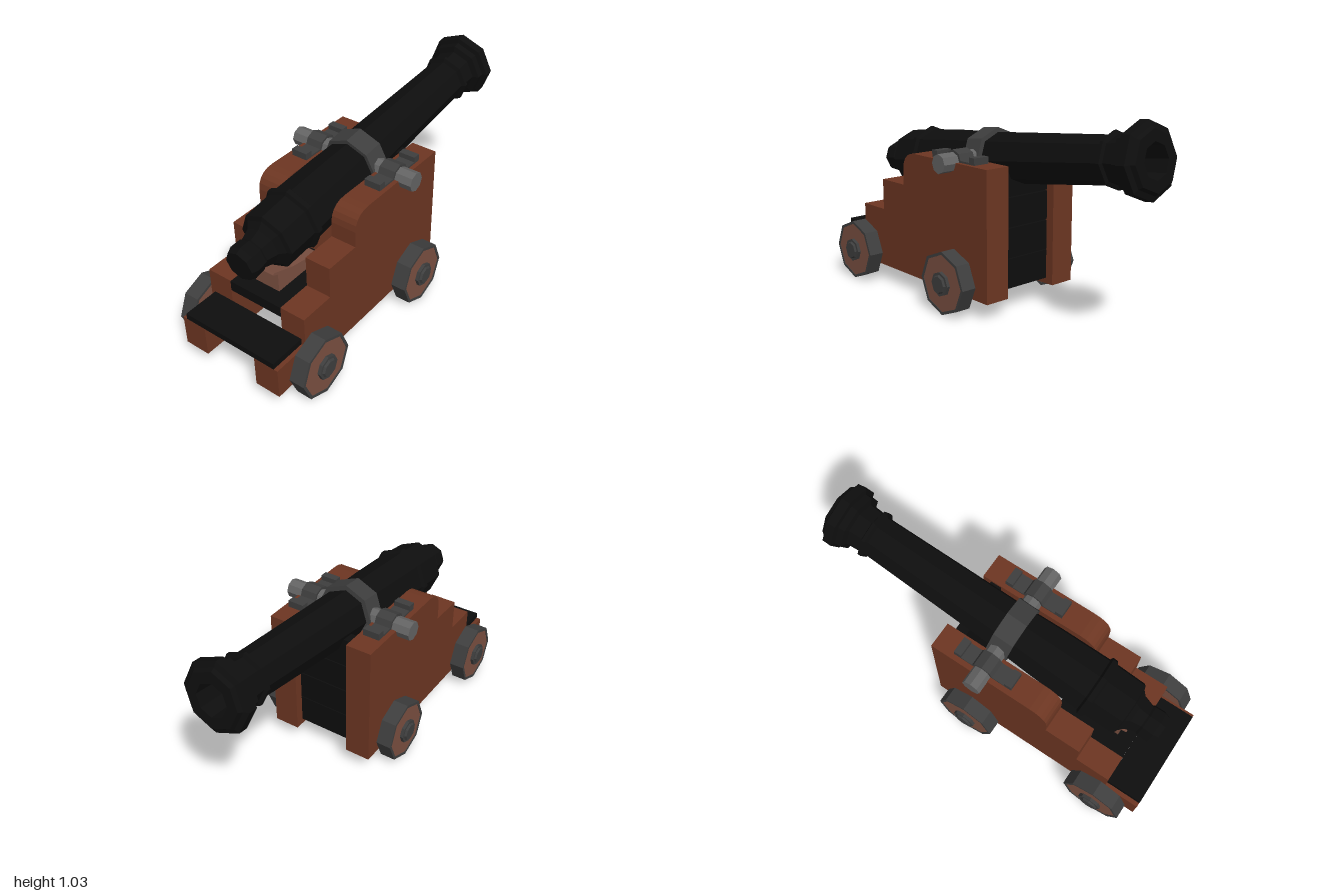
import * as THREE from 'three';

const flat = (color, name) => {
  const m = new THREE.MeshStandardMaterial({ color, flatShading: true });
  m.name = name;
  return m;
};

export function createModel() {
  const wood = flat(0x6d3622, 'red brown wood');
  const paleWood = flat(0x7b5041, 'pale wood');
  const black = flat(0x0e0e0e, 'black iron');
  const darkGrey = flat(0x3e3e3e, 'dark grey iron');
  const grey = flat(0x646464, 'grey iron');

  const model = new THREE.Group();
  model.name = 'cannon';

  const add = (parent, name, geometry, material, x = 0, y = 0, z = 0) => {
    const mesh = new THREE.Mesh(geometry, material);
    mesh.name = name;
    mesh.position.set(x, y, z);
    parent.add(mesh);
    return mesh;
  };
  // Box given by its limits on each axis
  const box = (parent, name, material, x0, x1, y0, y1, z0, z1) =>
    add(parent, name, new THREE.BoxGeometry(x1 - x0, y1 - y0, z1 - z0), material,
      (x0 + x1) / 2, (y0 + y1) / 2, (z0 + z1) / 2);
  // Eight-sided cylinder lying along z
  const drum = (parent, name, material, r0, r1, length, z) =>
    add(parent, name, new THREE.CylinderGeometry(r0, r1, length, 8).rotateX(Math.PI / 2), material, 0, 0, z);
  const lathe = (profile) =>
    new THREE.LatheGeometry(profile.map(([r, s]) => new THREE.Vector2(r, s)), 8);

  // Stepped side cheeks
  const carriage = new THREE.Group();
  carriage.name = 'carriage';
  model.add(carriage);
  const side = new THREE.Shape();
  side.moveTo(-1, 0.09);
  side.lineTo(0.225, 0.09);
  side.lineTo(0.225, 0.747);
  side.lineTo(-0.335, 0.747);
  side.quadraticCurveTo(-0.43, 0.745, -0.435, 0.655);
  for (const [x, y] of [[-0.435, 0.572], [-0.625, 0.572], [-0.625, 0.407],
    [-0.81, 0.407], [-0.81, 0.25], [-1, 0.25]]) side.lineTo(x, y);
  side.closePath();
  const cheek = new THREE.ExtrudeGeometry(side, { depth: 0.136, bevelEnabled: false, curveSegments: 5 });
  add(carriage, 'leftCheek', cheek, wood, 0, 0, 0.146);
  add(carriage, 'rightCheek', cheek, wood, 0, 0, -0.293);

  // Front planks with narrow gaps, bed and rear board
  for (const [y0, y1] of [[0.12, 0.271], [0.275, 0.426], [0.431, 0.579], [0.584, 0.735]])
    box(carriage, 'frontPlank', black, 0.12, 0.18, y0, y1, -0.157, 0.146);
  box(carriage, 'bedPlank', black, -0.81, -0.4, 0.35, 0.405, -0.157, 0.146);
  box(carriage, 'rearBoard', black, -1, -0.81, 0.25, 0.282, -0.27, 0.26);

  // Elevating wedge under the breech
  const wedge = new THREE.Shape([[-0.73, 0.405], [-0.45, 0.405], [-0.45, 0.45], [-0.63, 0.485],
    [-0.755, 0.53], [-0.76, 0.52], [-0.73, 0.505]].map(([x, y]) => new THREE.Vector2(x, y)));
  add(carriage, 'wedge', new THREE.ExtrudeGeometry(wedge, { depth: 0.14, bevelEnabled: false }),
    paleWood, 0, 0, -0.07);

  // Wheels: iron tyre, wooden disc and stepped hub
  for (const s of [1, -1]) for (const x of [-0.785, 0]) {
    const wheel = new THREE.Group();
    wheel.name = 'wheel';
    wheel.position.set(x, 0.163, s * 0.34);
    if (s < 0) wheel.rotation.y = Math.PI;
    const tyre = lathe([[0.147, -0.04], [0.162, -0.04], [0.162, 0.04], [0.147, 0.04], [0.147, -0.04]]);
    add(wheel, 'tyre', tyre.rotateX(Math.PI / 2), darkGrey);
    drum(wheel, 'disc', paleWood, 0.148, 0.148, 0.074, 0);
    drum(wheel, 'hub', darkGrey, 0.062, 0.062, 0.022, 0.043);
    drum(wheel, 'hubCap', darkGrey, 0.042, 0.05, 0.012, 0.058);
    drum(wheel, 'axleStub', darkGrey, 0.045, 0.045, 0.06, -0.06);
    model.add(wheel);
  }

  // Trunnion bar and its cap squares
  const trunnion = drum(model, 'trunnion', grey, 0.049, 0.049, 0.71, -0.005);
  trunnion.position.set(-0.05, 0.744, -0.005);
  for (const z of [0.215, -0.222]) {
    const cap = new THREE.Group();
    cap.name = 'trunnionCap';
    model.add(cap);
    const z0 = z - 0.044, z1 = z + 0.044;
    box(cap, 'capPlate', darkGrey, -0.215, 0.11, 0.742, 0.756, z0, z1);
    for (const x of [-0.215, 0.07]) box(cap, 'capFoot', darkGrey, x, x + 0.04, 0.742, 0.782, z0, z1);
    const hump = drum(cap, 'capArch', darkGrey, 0.062, 0.062, 0.088, z);
    hump.position.set(-0.05, 0.744, z);
  }

  // Barrel, tilted up towards the muzzle
  const barrel = new THREE.Group();
  barrel.name = 'barrel';
  barrel.position.set(-0.05, 0.733, 0);
  barrel.rotation.z = THREE.MathUtils.degToRad(7.05 - 90);
  model.add(barrel);
  add(barrel, 'gunTube', lathe([
    [0, -0.85], [0.076, -0.85], [0.088, -0.82], [0.085, -0.765], [0.08, -0.755],
    [0.098, -0.7], [0.125, -0.675], [0.147, -0.667], [0.15, -0.51],
    [0.166, -0.5], [0.166, -0.475], [0.15, -0.465], [0.143, -0.2], [0.13, 0.05],
    [0.112, 0.8], [0.132, 0.812], [0.132, 0.828], [0.115, 0.835], [0.12, 0.905],
    [0.15, 0.915], [0.152, 0.95], [0.175, 0.957], [0.175, 1.005], [0.15, 1.015],
    [0.138, 1.034], [0.083, 1.034], [0.076, 0.7], [0, 0.7],
  ]), black);
  add(barrel, 'strap', lathe([[0.12, -0.055], [0.155, -0.055], [0.155, 0.055], [0.12, 0.055]]), darkGrey);

  return model;
}
